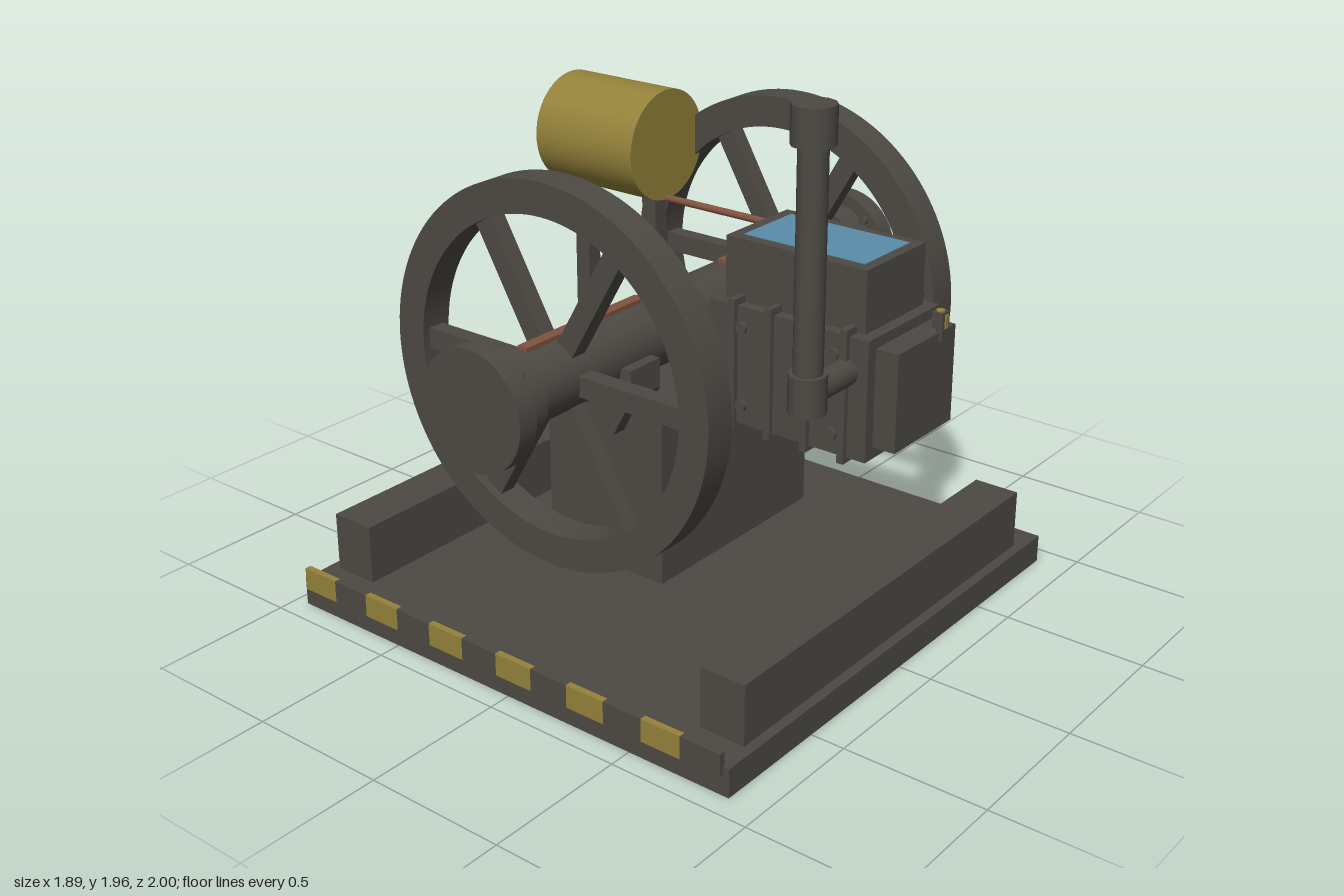
import * as THREE from 'three';
import { toCreasedNormals } from 'three/addons/utils/BufferGeometryUtils.js';

const material = (name, color) => {
  const m = new THREE.MeshStandardMaterial({ color });
  m.name = name;
  return m;
};

export function createModel() {
  const iron = material('dark iron', 0x4d4a44);
  const yellow = material('mustard yellow', 0x94823a);
  const copper = material('copper', 0x80523f);
  const water = material('water blue', 0x5b8ca8);

  const model = new THREE.Group();
  model.name = 'stationaryEngine';

  const add = (name, geometry, mat = iron, parent = model) => {
    const mesh = new THREE.Mesh(geometry, mat);
    mesh.name = name;
    parent.add(mesh);
    return mesh;
  };
  // Box given by its limits on each axis
  const box = (name, [x0, x1], [y0, y1], [z0, z1], mat, parent) => {
    const mesh = add(name, new THREE.BoxGeometry(x1 - x0, y1 - y0, z1 - z0), mat, parent);
    mesh.position.set((x0 + x1) / 2, (y0 + y1) / 2, (z0 + z1) / 2);
    return mesh;
  };
  // Cylinder between two points
  const rod = (name, a, b, radius, sides = 32, mat = iron, parent = model) => {
    const start = new THREE.Vector3(...a), end = new THREE.Vector3(...b);
    const dir = end.clone().sub(start);
    const mesh = add(name, new THREE.CylinderGeometry(radius, radius, dir.length(), sides), mat, parent);
    mesh.position.copy(start).add(end).multiplyScalar(0.5);
    mesh.quaternion.setFromUnitVectors(new THREE.Vector3(0, 1, 0), dir.normalize());
    return mesh;
  };

  // Base plate, side rails and the engine block
  box('basePlate', [-0.95, 0.88], [0, 0.1], [-0.92, 0.92]);
  box('leftRail', [0.68, 0.845], [0.1, 0.31], [-0.8, 0.8]);
  box('rightRail', [-0.91, -0.745], [0.1, 0.31], [-0.8, 0.8]);
  box('engineBlock', [-0.27, 0.21], [0.25, 0.85], [-0.4, 0.4]);
  box('magnetoBox', [0.265, 0.468], [0.5, 0.705], [-0.62, -0.42]);

  // Hazard strip along the front edge
  const strip = new THREE.Group();
  strip.name = 'hazardStrip';
  model.add(strip);
  for (let i = 0; i < 12; i++) {
    const x = -0.93 + i * 0.149;
    box('stripe', [x, x + 0.149], [0.07, 0.15], [0.912, 0.935], i % 2 ? iron : yellow, strip);
  }

  // Crankshaft with collars, end caps, bolts and bearings
  const cx = -0.03, cy = 1.01;
  rod('crankshaft', [cx, cy, -0.84], [cx, cy, 0.84], 0.122, 40);
  const bearing = new THREE.Shape([
    new THREE.Vector2(-0.165, 1), new THREE.Vector2(-0.165, 0.9), new THREE.Vector2(-0.09, 0.76),
    new THREE.Vector2(0.09, 0.76), new THREE.Vector2(0.165, 0.9), new THREE.Vector2(0.165, 1),
  ]);
  for (const s of [-1, 1]) {
    rod('shaftCollar', [cx, cy, s * 0.83], [cx, cy, s * 0.93], 0.155, 40);
    rod('endCap', [cx, cy, s * 0.928], [cx, cy, s], 0.2, 40);
    for (const bx of [-0.12, 0.12]) for (const by of [-0.12, 0.12]) {
      rod('capBolt', [cx + bx, cy + by, s * 0.905], [cx + bx, cy + by, s * 0.93], 0.015, 8);
    }
    const b = add('bearing', new THREE.ExtrudeGeometry(bearing, { depth: 0.145, bevelEnabled: false }));
    b.position.set(cx - 0.005, 0, s * 0.38 - 0.0725);
    box('shaftStrip', [cx - 0.02, cx + 0.02], [1.11, 1.145], s > 0 ? [0.215, 0.77] : [-0.78, -0.23], copper);
  }

  // Spoked flywheels
  const rim = new THREE.Shape().absarc(0, 0, 0.64, 0, Math.PI * 2);
  rim.holes.push(new THREE.Path().absarc(0, 0, 0.53, 0, Math.PI * 2, true));
  const rimGeometry = toCreasedNormals(
    new THREE.ExtrudeGeometry(rim, { depth: 0.115, bevelEnabled: false, curveSegments: 64 }), 0.5);
  for (const s of [-1, 1]) {
    const wheel = new THREE.Group();
    wheel.name = s > 0 ? 'frontFlywheel' : 'backFlywheel';
    wheel.position.set(cx, 1.003, s * 0.6175);
    model.add(wheel);
    add('rim', rimGeometry, iron, wheel).position.z = -0.0575;
    for (let i = 0; i < 6; i++) {
      const a = i * Math.PI / 3;
      const spoke = add('spoke', new THREE.BoxGeometry(0.45, 0.07, 0.06), iron, wheel);
      spoke.position.set(0.315 * Math.cos(a), 0.315 * Math.sin(a), 0);
      spoke.rotation.z = a;
    }
  }

  // Connecting rod and crank pin
  rod('connectingRod', [0.05, 1, 0], [0.3, 1, 0], 0.027, 16);
  rod('rodEnd', [0.115, 1, -0.05], [0.115, 1, 0.035], 0.04, 16);
  box('crankPin', [0.08, 0.15], [0.95, 0.99], [-0.1, 0.1], copper);

  // Engine cylinder with fins, bolts and head
  box('cylinderBody', [0.25, 0.845], [0.8, 1.2], [-0.2, 0.2]);
  box('cylinderHead', [0.84, 0.925], [0.84, 1.165], [-0.165, 0.16]);
  for (const x of [0.345, 0.485, 0.625, 0.765]) {
    box('coolingFin', [x - 0.012, x + 0.012], [0.782, 1.223], [-0.218, 0.218]);
  }
  for (const s of [-1, 1]) for (const x of [0.375, 0.72]) for (const y of [0.865, 1.13]) {
    rod('sideBolt', [x, y, s * 0.19], [x, y, s * 0.212], 0.02, 16);
  }

  // Water hopper
  box('waterHopper', [0.28, 0.805], [1.19, 1.405], [-0.165, 0.16]);
  box('waterSurface', [0.32, 0.77], [1.401, 1.407], [-0.13, 0.12], water);

  // Spark plug on the head
  rod('sparkPlugStem', [0.92, 1.135, -0.08], [0.92, 1.19, -0.08], 0.012, 10);
  box('sparkPlugCap', [0.902, 0.94], [1.18, 1.232], [-0.1, -0.06]);
  box('sparkPlugContact', [0.938, 0.945], [1.18, 1.225], [-0.087, -0.073], yellow);
  rod('sparkPlugTip', [0.92, 1.23, -0.08], [0.92, 1.236, -0.08], 0.014, 12, yellow);

  // Exhaust
  rod('exhaustElbow', [0.765, 1.083, 0.18], [0.765, 1.083, 0.4], 0.045, 12);
  rod('exhaustCollar', [0.765, 1.02, 0.4], [0.765, 1.145, 0.4], 0.06, 12);
  rod('exhaustPipe', [0.765, 1.1, 0.4], [0.765, 1.86, 0.4], 0.046, 12);
  rod('exhaustCap', [0.765, 1.84, 0.4], [0.765, 1.96, 0.4], 0.068, 12);

  // Fuel tank on two posts, with its feed pipe
  rod('fuelTank', [-0.85, 1.443, -0.4], [-0.41, 1.443, -0.4], 0.2, 48, yellow);
  box('outerTankPost', [-0.82, -0.758], [0, 1.27], [-0.431, -0.369]);
  box('innerTankPost', [-0.5, -0.44], [0.1, 1.27], [-0.431, -0.369]);
  rod('fuelPipe', [-0.46, 1.247, -0.4], [0.07, 1.247, -0.4], 0.013, 12, copper);
  rod('fuelPipeBend', [0.07, 1.247, -0.4], [0.31, 1.145, -0.185], 0.013, 12, copper);
  add('pipeJoint', new THREE.SphereGeometry(0.022, 16, 12)).position.set(0.07, 1.247, -0.4);

  return model;
}
